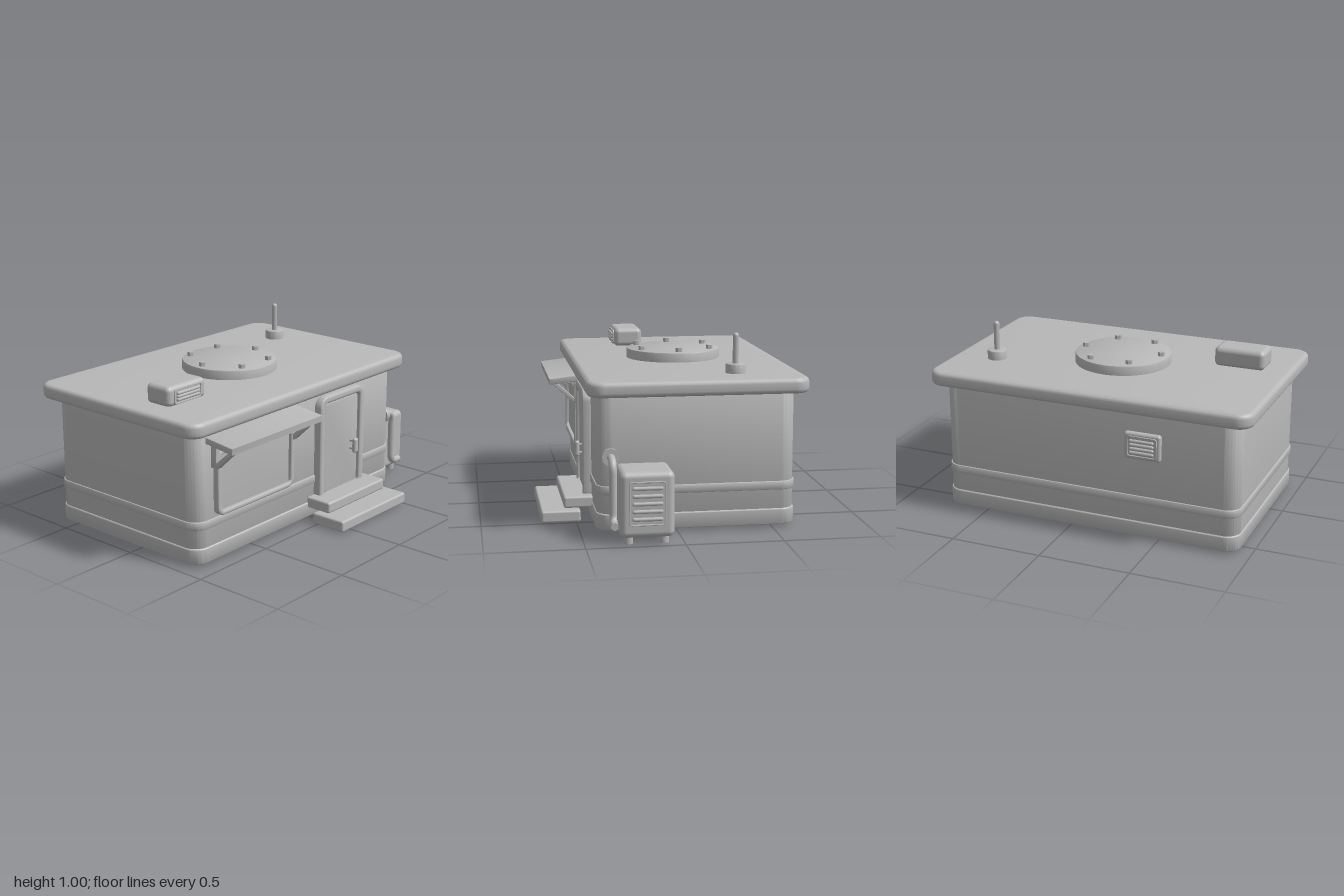
import * as THREE from 'three';
import { toCreasedNormals } from 'three/addons/utils/BufferGeometryUtils.js';
import { RoundedBoxGeometry } from 'three/addons/geometries/RoundedBoxGeometry.js';

const grey = new THREE.MeshStandardMaterial({ color: 0xb8b8b8 });
grey.name = 'plain grey';

export function createModel() {
  const model = new THREE.Group();
  model.name = 'kiosk';

  const add = (name, geometry, x = 0, y = 0, z = 0, parent = model) => {
    const mesh = new THREE.Mesh(geometry, grey);
    mesh.name = name;
    mesh.position.set(x, y, z);
    parent.add(mesh);
    return mesh;
  };

  // Rounded rectangle outline between two corners
  const roundRect = (x0, y0, x1, y1, r, Type = THREE.Shape) => {
    const s = new Type();
    s.absarc(x1 - r, y1 - r, r, 0, Math.PI / 2);
    s.absarc(x0 + r, y1 - r, r, Math.PI / 2, Math.PI);
    s.absarc(x0 + r, y0 + r, r, Math.PI, Math.PI * 1.5);
    s.absarc(x1 - r, y0 + r, r, Math.PI * 1.5, Math.PI * 2);
    s.closePath();
    return s;
  };

  // Extrusion with softened edges that stays inside the drawn outline
  const extrude = (shape, depth, bevel) => {
    const g = new THREE.ExtrudeGeometry(shape, {
      depth: depth - 2 * bevel, curveSegments: 10, bevelEnabled: bevel > 0,
      bevelThickness: bevel, bevelSize: bevel, bevelOffset: -bevel, bevelSegments: 4,
    });
    g.translate(0, 0, bevel);
    return toCreasedNormals(g, 0.6);
  };

  // Horizontal slab with rounded plan corners
  const slab = (name, x0, x1, z0, z1, y0, y1, r, bevel) => {
    const g = extrude(roundRect(x0, -z1, x1, -z0, r), y1 - y0, bevel);
    g.rotateX(-Math.PI / 2);
    return add(name, g, 0, y0, 0);
  };

  // Softened box between two corners
  const box = (name, x0, x1, y0, y1, z0, z1, r, parent = model) => add(name,
    new RoundedBoxGeometry(x1 - x0, y1 - y0, z1 - z0, 4, r),
    (x0 + x1) / 2, (y0 + y1) / 2, (z0 + z1) / 2, parent);

  // Upright frame facing the front
  const frame = (name, x0, y0, x1, y1, r, width, z, depth, bevel, parent = model) => {
    const s = roundRect(x0, y0, x1, y1, r);
    s.holes.push(roundRect(x0 + width, y0 + width, x1 - width, y1 - width, Math.max(r - width, 0.008), THREE.Path));
    return add(name, extrude(s, depth, bevel), 0, 0, z, parent);
  };

  // Louvred grille facing +z, centred on its own origin
  const grille = (name, w, h, count, rise, barRadius) => {
    const group = new THREE.Group();
    group.name = name;
    frame('grilleFrame', -w / 2, -h / 2, w / 2, h / 2, 0.015, 0.008, -0.004, 0.01, 0.002, group);
    const pitch = (h - 0.03) / count;
    for (let i = 0; i < count; i++) {
      const bar = add('grilleSlat', new THREE.CapsuleGeometry(barRadius, w - 0.03 - 2 * barRadius, 4, 10),
        0, (i - (count - 1) / 2) * pitch, rise - barRadius, group);
      bar.rotation.z = Math.PI / 2;
    }
    model.add(group);
    return group;
  };

  // Cabin and roof
  slab('cabinWalls', -0.93, 0.735, -0.62, 0.41, 0.02, 0.73, 0.08, 0.005);
  slab('basePlinth', -0.937, 0.742, -0.627, 0.417, 0.015, 0.1, 0.085, 0.008);
  slab('waistBand', -0.937, 0.742, -0.627, 0.417, 0.2, 0.245, 0.085, 0.004);
  slab('roof', -1, 0.803, -0.685, 0.465, 0.71, 0.79, 0.085, 0.024);

  // Round roof hatch with hexagonal bolts
  const disc = (r, h, b) => new THREE.LatheGeometry([
    [0, 0], [r, 0], [r, h - b], [r - b * 0.3, h - b * 0.3], [r - b, h], [0, h],
  ].map(([x, y]) => new THREE.Vector2(x, y)), 64);
  add('roofHatch', toCreasedNormals(disc(0.262, 0.056, 0.008), 0.6), -0.1, 0.788, -0.11);
  for (let i = 0; i < 6; i++) {
    const a = i * Math.PI / 3;
    add('hatchBolt', toCreasedNormals(new THREE.CylinderGeometry(0.019, 0.019, 0.026, 6), 0.5),
      -0.1 + Math.cos(a) * 0.22, 0.853, -0.11 + Math.sin(a) * 0.22);
  }

  // Antenna
  add('antennaBase', toCreasedNormals(disc(0.053, 0.052, 0.006), 0.6), 0.555, 0.788, -0.335);
  add('antennaRod', new THREE.CapsuleGeometry(0.016, 0.158, 5, 16), 0.555, 0.905, -0.335);

  // Roof ventilator
  box('roofVentilator', -0.86, -0.58, 0.785, 0.893, 0, 0.163, 0.028);
  grille('roofVentGrille', 0.2, 0.08, 3, 0.016, 0.009).position.set(-0.72, 0.838, 0.163);

  // Vent on the back wall
  box('rearVent', -0.52, -0.32, 0.455, 0.6, -0.645, -0.6, 0.014);
  const rear = grille('rearVentGrille', 0.165, 0.115, 4, 0.016, 0.009);
  rear.position.set(-0.42, 0.527, -0.645);
  rear.rotation.y = Math.PI;

  // Serving window
  frame('windowFrame', -0.8, 0.255, -0.2, 0.61, 0.045, 0.026, 0.4, 0.045, 0.008);
  add('windowPane', extrude(roundRect(-0.785, 0.27, -0.215, 0.595, 0.03), 0.02, 0.003), 0, 0, 0.405);

  // Awning: side profile drawn in z and y, then swept along x
  const sweepX = (points, width, bevel, hole) => {
    const toPath = (pts) => pts.map(([z, y]) => new THREE.Vector2(-z, y));
    const s = new THREE.Shape(toPath(points));
    if (hole) s.holes.push(new THREE.Path(toPath(hole)));
    const g = extrude(s, width, bevel);
    g.rotateY(Math.PI / 2);
    return g;
  };
  add('awning', sweepX([[0.4, 0.655], [0.585, 0.633], [0.588, 0.668], [0.4, 0.69]], 0.71, 0.005), -0.855, 0, 0);
  for (const x of [-0.817, -0.217]) {
    add('awningBracket', sweepX(
      [[0.405, 0.52], [0.45, 0.52], [0.575, 0.64], [0.405, 0.66]], 0.034, 0.003,
      [[0.445, 0.55], [0.445, 0.635], [0.535, 0.63]]), x, 0, 0);
  }

  // Door
  frame('doorFrame', 0.012, 0.08, 0.408, 0.692, 0.065, 0.042, 0.4, 0.055, 0.012);
  add('doorBacking', extrude(roundRect(0.03, 0.1, 0.39, 0.67, 0.05), 0.02, 0.003), 0, 0, 0.402);
  add('doorPanel', extrude(roundRect(0.063, 0.12, 0.362, 0.653, 0.035), 0.035, 0.006), 0, 0, 0.405);
  box('doorHandle', 0.281, 0.316, 0.315, 0.4, 0.462, 0.488, 0.012);
  for (const y of [0.335, 0.38]) box('handlePost', 0.292, 0.305, y - 0.006, y + 0.006, 0.43, 0.47, 0.003);

  // Entrance steps
  box('lowerStep', -0.08, 0.505, 0.004, 0.067, 0.477, 0.685, 0.012);
  box('upperStep', -0.045, 0.465, 0.07, 0.132, 0.405, 0.563, 0.012);

  // Side generator with feet and grille
  box('generator', 0.735, 0.979, 0.035, 0.371, 0.052, 0.327, 0.032);
  for (const x of [0.765, 0.925]) {
    for (const z of [0.1, 0.28]) add('generatorFoot', new THREE.CylinderGeometry(0.024, 0.024, 0.045, 20), x, 0.0225, z);
  }
  const side = grille('generatorGrille', 0.185, 0.225, 5, 0.016, 0.01);
  side.position.set(0.979, 0.212, 0.19);
  side.rotation.y = Math.PI / 2;

  // Pipe from the wall flange down to the generator
  const flange = add('pipeFlange', new THREE.CylinderGeometry(0.045, 0.045, 0.025, 32), 0.738, 0.4, 0.345);
  flange.rotation.z = Math.PI / 2;
  const v = (x, y) => new THREE.Vector3(x, y, 0.345);
  const path = new THREE.CurvePath();
  path.add(new THREE.LineCurve3(v(0.73, 0.4), v(0.77, 0.4)));
  path.add(new THREE.QuadraticBezierCurve3(v(0.77, 0.4), v(0.835, 0.4), v(0.835, 0.335)));
  path.add(new THREE.LineCurve3(v(0.835, 0.335), v(0.835, 0.135)));
  path.add(new THREE.QuadraticBezierCurve3(v(0.835, 0.135), v(0.835, 0.082), v(0.885, 0.082)));
  path.add(new THREE.LineCurve3(v(0.885, 0.082), v(0.912, 0.082)));
  add('pipe', new THREE.TubeGeometry(path, 64, 0.02, 14));
  const cap = add('pipeEnd', new THREE.CircleGeometry(0.02, 14), 0.912, 0.082, 0.345);
  cap.rotation.y = Math.PI / 2;

  return model;
}
